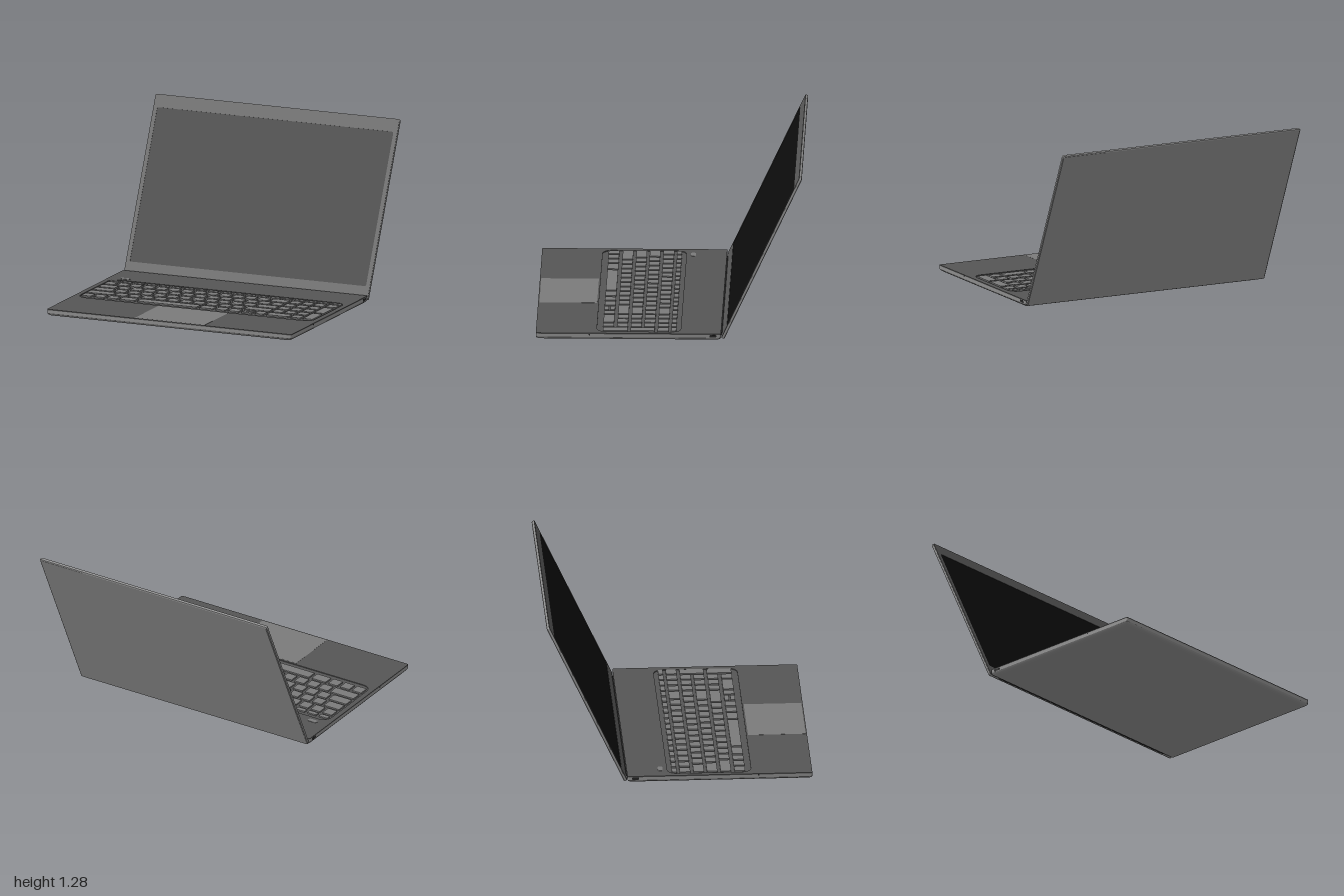
import * as THREE from 'three';
import { toCreasedNormals } from 'three/addons/utils/BufferGeometryUtils.js';

const mat = (color) => new THREE.MeshStandardMaterial({ color });
const shellMat = mat(0x8c8c8c), deckMat = mat(0x555555), keyMat = mat(0x7a7a7a);
const screenMat = mat(0x0c0c0c), darkMat = mat(0x222222);

// Rounded rectangle drawn on a Shape or Path
function roundRect(x0, y0, x1, y1, r, p = new THREE.Shape()) {
  p.moveTo(x0 + r, y0);
  p.lineTo(x1 - r, y0);
  p.absarc(x1 - r, y0 + r, r, -Math.PI / 2, 0);
  p.lineTo(x1, y1 - r);
  p.absarc(x1 - r, y1 - r, r, 0, Math.PI / 2);
  p.lineTo(x0 + r, y1);
  p.absarc(x0 + r, y1 - r, r, Math.PI / 2, Math.PI);
  p.lineTo(x0, y0 + r);
  p.absarc(x0 + r, y0 + r, r, Math.PI, Math.PI * 1.5);
  return p;
}

function add(parent, name, geometry, material) {
  const mesh = new THREE.Mesh(geometry, material);
  mesh.name = name;
  parent.add(mesh);
  return mesh;
}

// Plate standing along +z from z = from to z = to
function plate(shape, from, to) {
  const g = new THREE.ExtrudeGeometry(shape, { depth: to - from, bevelEnabled: false, curveSegments: 6 });
  return g.translate(0, 0, from);
}

// Horizontal plate covering x0..x1, z0..z1, from height y0 to y1
const slab = (x0, x1, z0, z1, r, y0, y1) =>
  plate(roundRect(x0, -z1, x1, -z0, r), y0, y1).rotateX(-Math.PI / 2);

// Closed loft through rounded rectangles, each ring being [height, inset]
function loft(x0, x1, z0, z1, r, rings) {
  const pos = [], idx = [], n = 20;
  rings.forEach(([y, inset]) => {
    for (let i = 0; i < n; i++) {
      const corner = Math.floor(i / 5), a = (corner + (i % 5) / 4) * Math.PI / 2;
      const cx = corner === 0 || corner === 3 ? x1 - inset - r : x0 + inset + r;
      const cz = corner < 2 ? z1 - inset - r : z0 + inset + r;
      pos.push(cx + r * Math.cos(a), y, cz + r * Math.sin(a));
    }
  });
  for (let k = 0; k < rings.length - 1; k++)
    for (let i = 0; i < n; i++) {
      const j = (i + 1) % n, a = k * n + i, b = k * n + j;
      idx.push(a, a + n, b, b, a + n, b + n);
    }
  const top = (rings.length - 1) * n;
  for (let i = 1; i < n - 1; i++) idx.push(0, i, i + 1, top, top + i + 1, top + i);
  const g = new THREE.BufferGeometry();
  g.setAttribute('position', new THREE.Float32BufferAttribute(pos, 3));
  g.setIndex(idx);
  return toCreasedNormals(g, 0.5);
}

function buildBase() {
  const base = new THREE.Group();
  base.name = 'base';
  add(base, 'lowerShell', loft(-1, 1, -0.39, 0.99, 0.012,
    [[0, 0.035], [0.004, 0.018], [0.012, 0.006], [0.022, 0], [0.045, 0]]), shellMat);

  // Deck with the keyboard well cut out
  const deck = roundRect(-1, -0.99, 1, 0.39, 0.012);
  deck.holes.push(roundRect(-0.96, -0.537, 0.957, 0.088, 0.07, new THREE.Path()));
  add(base, 'deck', plate(deck, 0.045, 0.053).rotateX(-Math.PI / 2), deckMat);
  add(base, 'keyboardWell', slab(-0.96, 0.957, -0.088, 0.537, 0.07, 0.044, 0.047), deckMat);
  add(base, 'trackpad', slab(-0.285, 0.285, 0.55, 0.98, 0.004, 0.05, 0.0538), keyMat);
  add(base, 'powerButton', slab(-0.91, -0.83, -0.158, -0.122, 0.0175, 0.05, 0.0555), keyMat);

  // Ports on both sides
  for (const s of [-1, 1]) {
    const port = add(base, 'sidePort', plate(roundRect(-0.026, -0.009, 0.026, 0.009, 0.006), -0.001, 0.001), darkMat);
    port.position.set(s, 0.035, -0.33);
    port.rotation.y = s * Math.PI / 2;
    const jack = add(base, 'sideJack', new THREE.CylinderGeometry(0.006, 0.006, 0.002, 12), darkMat);
    jack.position.set(s, 0.042, 0.59);
    jack.rotation.z = Math.PI / 2;
  }
  return base;
}

function buildKeyboard() {
  const keyboard = new THREE.Group();
  keyboard.name = 'keyboard';
  const key = (x0, x1, z0, z1) => add(keyboard, 'key', slab(x0, x1, z0, z1, 0.006, 0.046, 0.0575), keyMat);
  const ones = (n) => Array(n).fill(1);
  const left = -0.945, right = 0.545, gap = 0.024;

  // Each row: near and far edge in z, then relative key widths
  const rows = [
    [-0.055, -0.018, ones(15)],
    [0.003, 0.083, [...ones(13), 1.5]],
    [0.106, 0.185, [1.5, ...ones(13)]],
    [0.206, 0.285, [1.7, ...ones(11), 1.7]],
    [0.308, 0.387, [2.15, ...ones(10), 2.15]],
    [0.412, 0.492, [1, 1, 1, 1.4, 4.85, 1.25, 1, 1.05, 1.05, 0.9]],
  ];
  rows.forEach(([z0, z1, widths], row) => {
    const unit = (right - left + gap) / widths.reduce((a, b) => a + b);
    let x = left;
    widths.forEach((w, i) => {
      const x1 = x + w * unit - gap;
      if (row === 5 && i === 8) { // stacked half-height arrows
        key(x, x1, z0, z0 + 0.034);
        key(x, x1, z1 - 0.034, z1);
      } else key(x, x1, z0, z1);
      x += w * unit;
    });

    // Number pad, with tall keys in the last column and a wide one below
    for (let c = 0; c < 4; c++) {
      const px = 0.568 + c * 0.1;
      if (row === 5 && (c === 1 || c === 3)) continue;
      if (c === 3 && row === 3) continue;
      const tall = c === 3 && (row === 2 || row === 4);
      const wide = row === 5 && c === 0;
      key(px, px + (wide ? 0.178 : 0.078), z0, tall ? rows[row + 1][1] : z1);
    }
  });
  return keyboard;
}

function buildLid() {
  const lid = new THREE.Group();
  lid.name = 'lid';
  const h = 1.385;
  const shell = loft(-1, 1, -h, 0, 0.01, [[-0.012, 0.006], [-0.007, 0], [0.008, 0]]);
  add(lid, 'lidShell', shell.rotateX(Math.PI / 2), shellMat);

  // Bezel frame around a slightly sunken display
  const frame = roundRect(-0.998, 0.002, 0.998, h - 0.002, 0.01);
  frame.holes.push(roundRect(-0.966, 0.1, 0.966, 1.284, 0.012, new THREE.Path()));
  add(lid, 'bezel', plate(frame, 0.007, 0.012), deckMat);
  add(lid, 'screen', plate(roundRect(-0.966, 0.1, 0.966, 1.284, 0.012), 0.007, 0.01), screenMat);

  lid.position.set(0, 0.017, -0.403);
  lid.rotation.x = -0.433;
  return lid;
}

export function createModel() {
  const model = new THREE.Group();
  model.name = 'laptop';
  model.add(buildBase(), buildKeyboard(), buildLid());

  // Hinge bar between base and lid
  const hinge = add(model, 'hinge', new THREE.CylinderGeometry(0.011, 0.011, 1.8, 16), darkMat);
  hinge.rotation.z = Math.PI / 2;
  hinge.position.set(0, 0.024, -0.394);
  return model;
}
